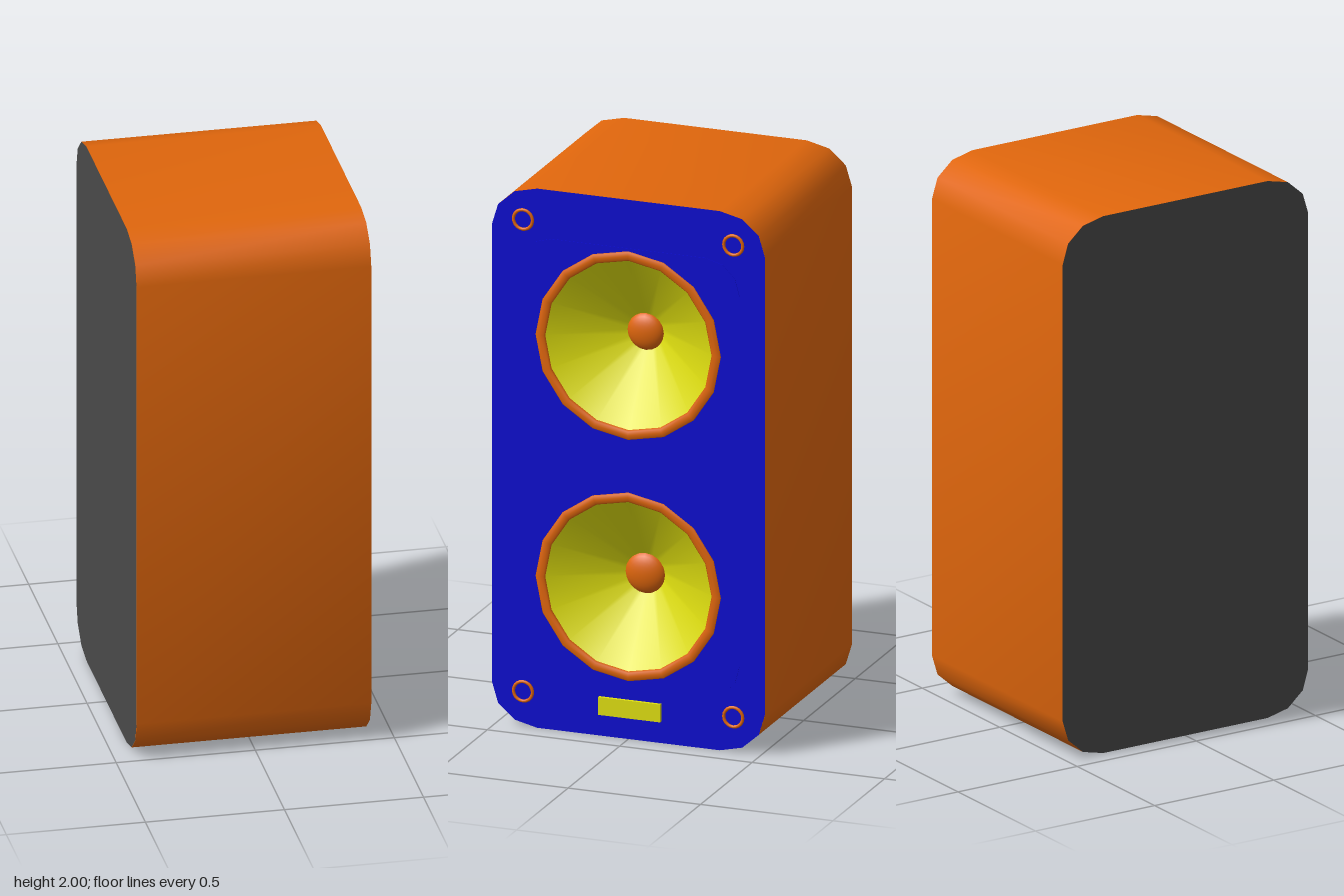
import * as THREE from 'three';
import { toCreasedNormals } from 'three/addons/utils/BufferGeometryUtils.js';

const paint = (color, side = THREE.FrontSide) => new THREE.MeshStandardMaterial({ color, side });
const orange = paint(0xe0660c);
const blue = paint(0x0b0bd0);
const yellow = paint(0xe0e010);
const yellowThin = paint(0xe0e010, THREE.DoubleSide);
const grey = paint(0x4a4a4a);

const FRONT = 0.415, BACK = -0.43, SIDES = 16;
const drivers = [{ y: 1.46, dome: 0.07 }, { y: 0.565, dome: 0.078 }];

// Rounded rectangle with three straight facets per corner
function outline(halfWidth, y0, y1, rx, ry) {
  const points = [];
  const corners = [[1, y1 - ry], [-1, y1 - ry], [-1, y0 + ry], [1, y0 + ry]];
  corners.forEach(([side, cy], quarter) => {
    for (let i = 0; i <= 3; i++) {
      const a = (quarter + i / 3) * Math.PI / 2;
      points.push(new THREE.Vector2(side * (halfWidth - rx) + rx * Math.cos(a), cy + ry * Math.sin(a)));
    }
  });
  return points;
}

// Cut the driver openings in a shape
function withOpenings(points) {
  const shape = new THREE.Shape(points);
  for (const { y } of drivers) {
    const hole = [];
    for (let i = 0; i < SIDES; i++) {
      const a = -i / SIDES * Math.PI * 2;
      hole.push(new THREE.Vector2(0.325 * Math.cos(a), y + 0.325 * Math.sin(a)));
    }
    shape.holes.push(new THREE.Path(hole));
  }
  return shape;
}

export function createModel() {
  const model = new THREE.Group();
  model.name = 'loudspeaker';
  const speaker = new THREE.Group(); // built facing +z, then turned to face +x
  speaker.name = 'cabinetAndDrivers';
  speaker.rotation.y = Math.PI / 2;
  model.add(speaker);

  const add = (name, geometry, material, x = 0, y = 0, z = 0, parent = speaker) => {
    const mesh = new THREE.Mesh(geometry, material);
    mesh.name = name;
    mesh.position.set(x, y, z);
    parent.add(mesh);
    return mesh;
  };

  // Cabinet wall, open at both ends
  const outer = outline(0.515, 0, 2, 0.17, 0.15);
  const wall = new THREE.Shape(outer);
  wall.holes.push(new THREE.Path(outline(0.495, 0.02, 1.98, 0.15, 0.13).reverse()));
  const wallGeometry = new THREE.ExtrudeGeometry(wall, { depth: FRONT - BACK - 0.002, bevelEnabled: false });
  add('cabinetWall', toCreasedNormals(wallGeometry, 0.7), orange, 0, 0, BACK + 0.001);

  // Back panel, front baffle and its inset panel
  add('backPanel', new THREE.ShapeGeometry(new THREE.Shape(outer)).rotateY(Math.PI), grey, 0, 0, BACK);
  add('baffle', new THREE.ShapeGeometry(withOpenings(outer)), blue, 0, 0, FRONT);
  const inset = withOpenings(outline(0.42, 0.19, 1.82, 0.13, 0.13));
  add('insetPanel', new THREE.ExtrudeGeometry(inset, { depth: 0.002, bevelEnabled: false }), blue, 0, 0, FRONT);

  // Drivers: surround, cone and dust cap
  for (const { y, dome } of drivers) {
    const driver = new THREE.Group();
    driver.name = 'driver';
    driver.position.set(0, y, FRONT);
    speaker.add(driver);
    const ring = add('surround', new THREE.TorusGeometry(0.333, 0.019, 8, SIDES), orange, 0, 0, 0, driver);
    ring.scale.z = 0.4;
    const profile = [[0, -0.185], [0.05, -0.18], [0.325, 0]].map(p => new THREE.Vector2(...p));
    const cone = toCreasedNormals(new THREE.LatheGeometry(profile, SIDES).rotateX(Math.PI / 2), 0.45);
    add('cone', cone, yellowThin, 0, 0, 0, driver);
    const cap = new THREE.SphereGeometry(dome, 20, 8, 0, Math.PI * 2, 0, Math.PI / 2).rotateX(Math.PI / 2);
    add('dustCap', cap, orange, 0, 0, -0.175, driver).scale.z = 0.5;
  }

  // Corner fixing rings
  for (const x of [-0.397, 0.397]) {
    for (const y of [0.13, 1.88]) {
      add('fixingRing', new THREE.TorusGeometry(0.036, 0.006, 8, 20), orange, x, y, FRONT + 0.003);
    }
  }

  // Badge plate
  add('badgePlate', new THREE.BoxGeometry(0.235, 0.066, 0.014), yellow, 0.007, 0.113, FRONT + 0.005);
  return model;
}
